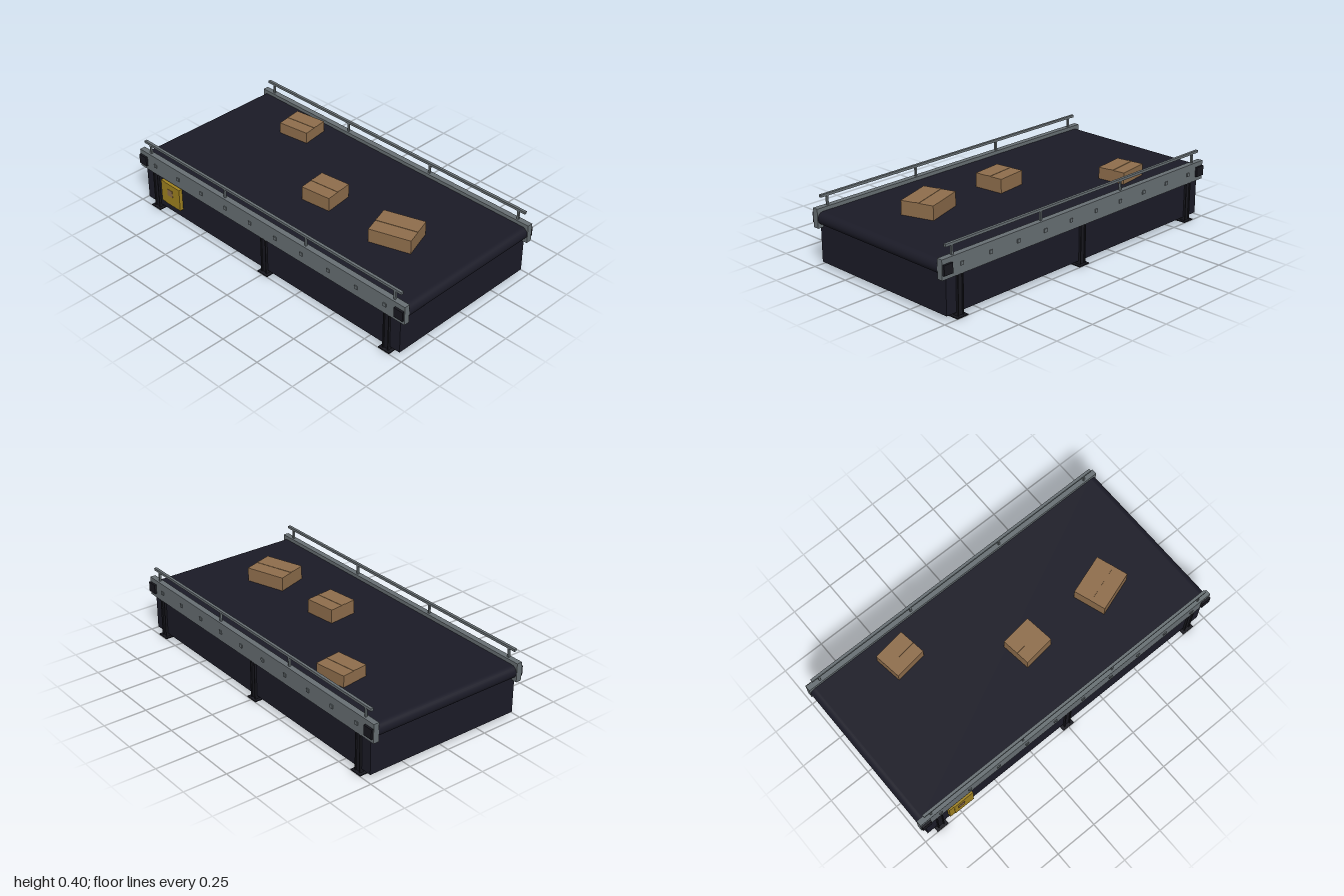
import * as THREE from 'three';

const material = (name, color) => {
  const m = new THREE.MeshStandardMaterial({ color });
  m.name = name;
  return m;
};

export function createModel() {
  const steel = material('grey steel', 0x687074);
  const dark = material('dark belt and panels', 0x1b1b27);
  const black = material('dark legs and bearings', 0x18181f);
  const yellow = material('yellow cabinet', 0xa08220);
  const card = material('cardboard', 0x8f6e4c);

  const model = new THREE.Group();
  model.name = 'beltConveyor';

  // Box given by its size and centre
  const box = (name, mat, [w, h, d], [x, y, z], parent = model) => {
    const mesh = new THREE.Mesh(new THREE.BoxGeometry(w, h, d), mat);
    mesh.name = name;
    mesh.position.set(x, y, z);
    parent.add(mesh);
    return mesh;
  };

  // Belt: a flat bed running over a drum at each end
  const drumRadius = 0.036, drumX = 0.962, beltTop = 0.313, beltWidth = 0.914;
  box('beltBed', dark, [drumX * 2, 0.016, beltWidth], [0, beltTop - 0.008, 0]);
  for (const s of [-1, 1]) {
    const drum = new THREE.Mesh(new THREE.CylinderGeometry(drumRadius, drumRadius, beltWidth, 28), dark);
    drum.name = 'endDrum';
    drum.rotation.x = Math.PI / 2;
    drum.position.set(s * drumX, beltTop - drumRadius, 0);
    model.add(drum);
  }

  // Skirt, open at the top and bottom
  for (const s of [-1, 1]) {
    box('sideSkirt', dark, [1.93, 0.205, 0.008], [0, 0.1275, s * 0.472]);
    box('endSkirt', dark, [0.008, 0.22, 0.95], [s * 0.961, 0.135, 0]);
  }

  // Both long sides: rail, guard, bolts, bearings and legs
  for (const s of [-1, 1]) {
    const side = new THREE.Group();
    side.name = s > 0 ? 'frontSide' : 'backSide';
    model.add(side);

    box('sideRail', steel, [2, 0.108, 0.033], [0, 0.28, s * 0.4715], side);
    box('guardRail', steel, [1.93, 0.014, 0.016], [0, 0.393, s * 0.471], side);
    for (const x of [-0.92, -0.307, 0.307, 0.92])
      box('guardPost', steel, [0.011, 0.056, 0.011], [x, 0.36, s * 0.471], side);
    for (let i = 0; i < 10; i++)
      box('railBolt', steel, [0.02, 0.02, 0.006], [-0.87 + i * 0.1933, 0.28, s * 0.49], side);

    for (const x of [-0.967, 0.967])
      box('bearingBlock', black, [0.058, 0.056, 0.013], [x, 0.279, s * 0.4935], side);

    for (const x of [-0.88, 0, 0.88]) {
      box('legWeb', black, [0.04, 0.222, 0.03], [x, 0.115, s * 0.466], side);
      for (const dx of [-0.017, 0.017])
        box('legFlange', black, [0.006, 0.222, 0.007], [x + dx, 0.115, s * 0.4845], side);
      box('footPlate', black, [0.074, 0.006, 0.062], [x, 0.003, s * 0.469], side);
    }
  }

  // Control cabinet on the front, with a raised door
  box('controlCabinet', yellow, [0.157, 0.135, 0.02], [-0.744, 0.148, 0.485]);
  box('cabinetDoor', yellow, [0.125, 0.135, 0.003], [-0.728, 0.148, 0.4965]);
  box('cabinetSwitch', card, [0.042, 0.042, 0.002], [-0.745, 0.16, 0.499]);

  // Parcels riding on the belt, each with a taped seam
  const parcels = [
    [-0.512, -0.299, 0.19, 0.066, 0.162, 0.14],
    [0.054, 0.079, 0.182, 0.08, 0.172, 0.12],
    [0.57, 0.077, 0.238, 0.08, 0.19, 0.32],
  ];
  for (const [x, z, w, h, d, turn] of parcels) {
    const parcel = new THREE.Group();
    parcel.name = 'parcel';
    parcel.position.set(x, beltTop, z);
    parcel.rotation.y = turn;
    box('carton', card, [w, h, d], [0, h / 2, 0], parcel);
    box('tape', card, [w, 0.002, 0.02], [0, h + 0.001, 0], parcel);
    model.add(parcel);
  }

  return model;
}
